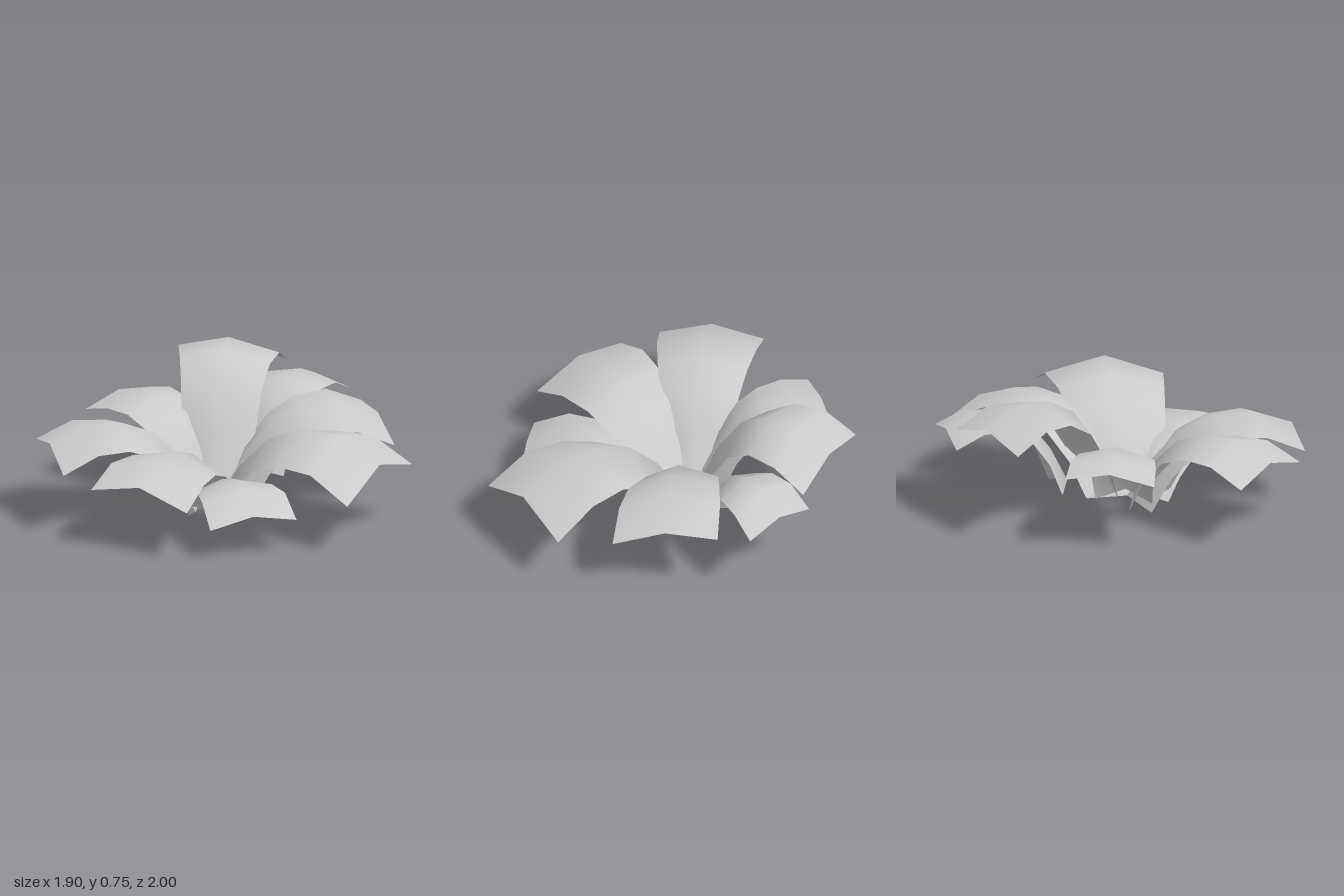
import * as THREE from 'three';

// Rows along a leaf: distance from base, height (0 base, 1 peak), width factor
const ROWS = [
  [0, 0, 0.64], [0.14, 0.45, 0.7], [0.32, 0.82, 0.77],
  [0.52, 0.98, 0.86], [0.75, 1, 0.96], [1, null, 1],
];

// Each leaf: midrib base, two tip corners, midrib height at the tip, highest midrib point
const LEAVES = [
  { name: 'leftLeaf', base: [0.06, 0.11, -0.05], a: [0.945, 0.44, -0.33], b: [0.945, 0.36, 0.25], tipY: 0.46, peak: 0.55 },
  { name: 'backLeftLeaf', base: [0.29, 0.15, -0.2], a: [0.64, 0.46, -0.8], b: [0.95, 0.45, -0.51], tipY: 0.51, peak: 0.585 },
  { name: 'tallBackLeaf', base: [0.03, 0.14, -0.13], a: [0.13, 0.6, -1.0], b: [0.66, 0.57, -0.77], tipY: 0.66, peak: 0.755 },
  { name: 'backRightLeaf', base: [-0.04, 0.14, -0.13], a: [-0.535, 0.44, -0.66], b: [-0.085, 0.46, -0.855], tipY: 0.5, peak: 0.54 },
  { name: 'rightLeaf', base: [-0.06, 0.11, -0.07], a: [-0.955, 0.37, 0.205], b: [-0.92, 0.4, -0.375], tipY: 0.465, peak: 0.55 },
  { name: 'frontRightLeaf', base: [0.015, 0.05, -0.02], a: [-0.45, 0.295, 0.825], b: [-0.865, 0.345, 0.41], tipY: 0.4, peak: 0.49 },
  { name: 'frontLeftLeaf', base: [0.0, 0.05, -0.01], a: [0.945, 0.345, 0.55], b: [0.42, 0.295, 0.995], tipY: 0.44, peak: 0.565 },
  { name: 'frontLeaf', base: [-0.03, 0.07, 0.01], a: [0.175, 0.2, 0.85], b: [-0.315, 0.18, 0.825], tipY: 0.24, peak: 0.335 },
];

// Arching leaf, three points wide, folded down along its midrib
function leafGeometry({ base, a, b, tipY, peak }) {
  const root = new THREE.Vector3(...base);
  const ca = new THREE.Vector3(...a), cb = new THREE.Vector3(...b);
  const tip = ca.clone().add(cb).multiplyScalar(0.5);
  const side = cb.clone().sub(ca).multiplyScalar(0.5);
  const out = tip.clone().sub(root).setY(0).normalize();
  const tipFold = new THREE.Vector3(0, tip.y - tipY, 0);
  const baseFold = out.multiplyScalar(0.85).setY(-0.5).multiplyScalar(0.36 * side.length());
  const positions = [], index = [];

  ROWS.forEach(([s, h, w], i) => {
    const mid = root.clone().lerp(tip, s);
    mid.y = h === null ? tipY : THREE.MathUtils.lerp(root.y, peak, h);
    const fold = baseFold.clone().lerp(tipFold, Math.pow(s, 0.6));
    for (const k of [-1, 0, 1]) {
      const p = mid.clone().addScaledVector(side, k * w).addScaledVector(fold, Math.abs(k));
      positions.push(p.x, Math.max(0, p.y), p.z);
    }
    if (i === 0) return;
    for (let c = 0; c < 2; c++) {
      const p = (i - 1) * 3 + c, q = p + 3;
      index.push(p, p + 1, q + 1, p, q + 1, q);
    }
  });

  const geometry = new THREE.BufferGeometry();
  geometry.setAttribute('position', new THREE.Float32BufferAttribute(positions, 3));
  // Upper faces point up whichever way the corners run
  const up = new THREE.Vector3().crossVectors(side, tip.clone().sub(root)).y > 0;
  if (!up) {
    for (let i = 0; i < index.length; i += 3) [index[i + 1], index[i + 2]] = [index[i + 2], index[i + 1]];
  }
  geometry.setIndex(index);
  geometry.computeVertexNormals();
  return geometry;
}

export function createModel() {
  const plant = new THREE.Group();
  plant.name = 'leafyPlant';
  const material = new THREE.MeshStandardMaterial({ color: 0xcccccc, side: THREE.DoubleSide });
  for (const leaf of LEAVES) {
    const mesh = new THREE.Mesh(leafGeometry(leaf), material);
    mesh.name = leaf.name;
    plant.add(mesh);
  }
  return plant;
}
